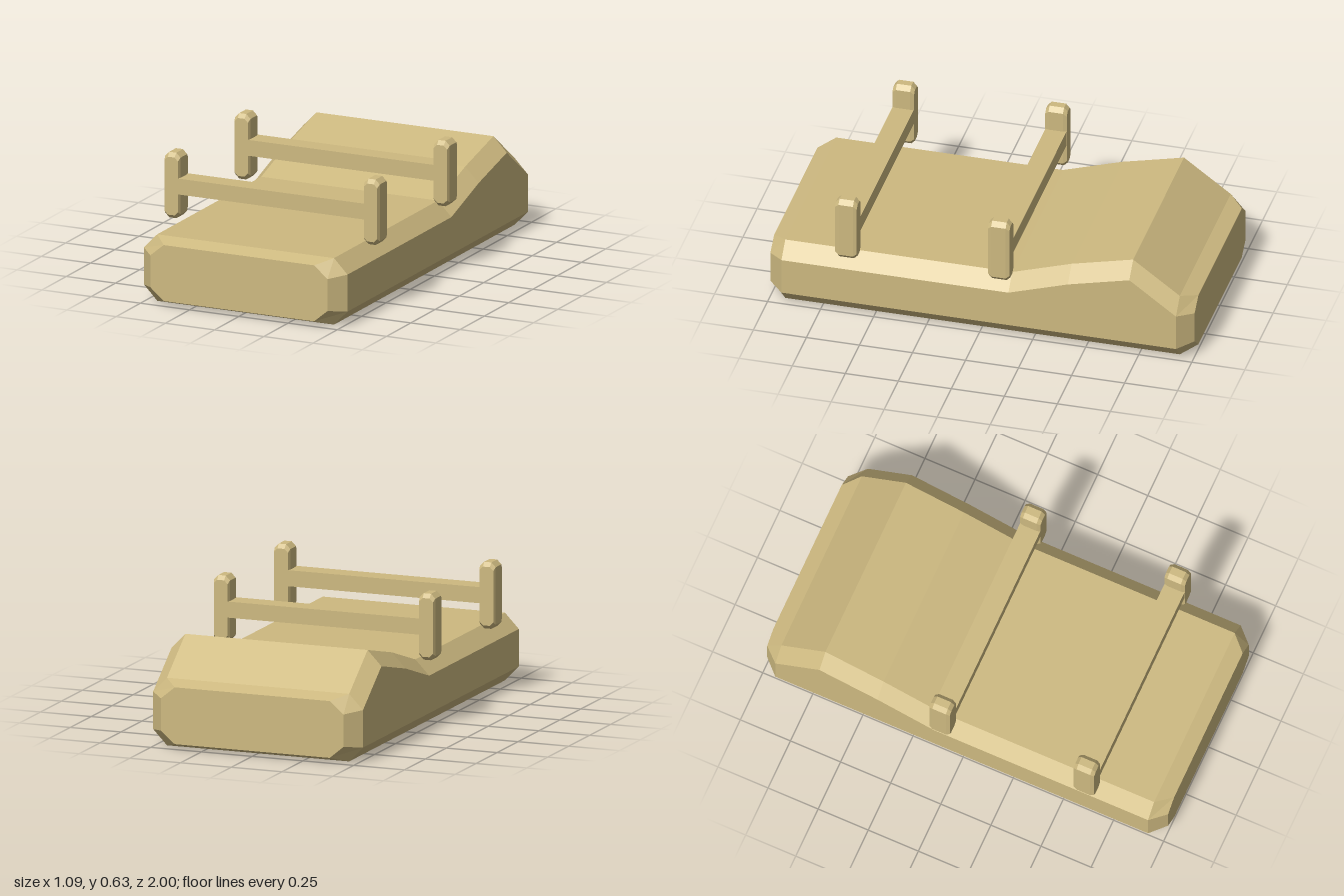
import * as THREE from 'three';

const material = new THREE.MeshStandardMaterial({ color: 0xcdb980, flatShading: true });

// Loft of chamfered rectangles, front to back: [z, halfWidth, bottom, top, chamferX, chamferY]
function loft(name, sections) {
  const pos = [], idx = [];
  for (const [z, w, b, t, cx, cy] of sections) {
    const ring = [[w, b + cy], [w, t - cy], [w - cx, t], [cx - w, t],
      [-w, t - cy], [-w, b + cy], [cx - w, b], [w - cx, b]];
    for (const [x, y] of ring) pos.push(x, y, z);
  }
  const last = (sections.length - 1) * 8;
  for (let s = 0; s < last; s += 8) {
    for (let j = 0; j < 8; j++) {
      const k = (j + 1) % 8;
      idx.push(s + j, s + 8 + j, s + 8 + k, s + j, s + 8 + k, s + k);
    }
  }
  for (let j = 1; j < 7; j++) idx.push(0, j, j + 1, last, last + j + 1, last + j);
  const indexed = new THREE.BufferGeometry();
  indexed.setAttribute('position', new THREE.Float32BufferAttribute(pos, 3));
  indexed.setIndex(idx);
  const geo = indexed.toNonIndexed();
  geo.computeVertexNormals();
  const mesh = new THREE.Mesh(geo, material);
  mesh.name = name;
  return mesh;
}

export function createModel() {
  const model = new THREE.Group();
  model.name = 'paddedBench';

  // Long slab with chamfered edges, rising to a headrest at the back
  const slab = [[0.93, 0.315], [-0.14, 0.315], [-0.42, 0.405], [-0.71, 0.475], [-0.93, 0.315]]
    .map(([z, top]) => [z, 0.517, 0, top, 0.068, 0.07]);
  const end = (z) => [z, 0.45, 0.025, 0.29, 0.068, 0.057];
  model.add(loft('body', [end(1), ...slab, end(-1)]));

  // Two restraint bars, each carried between a pair of chamfered posts
  for (const [name, z] of [['frontRestraint', 0.62], ['rearRestraint', -0.1]]) {
    const restraint = new THREE.Group();
    restraint.name = name;
    restraint.position.z = z;

    const bar = new THREE.Mesh(new THREE.BoxGeometry(0.96, 0.075, 0.1), material);
    bar.name = 'crossbar';
    bar.position.y = 0.472;
    restraint.add(bar);

    for (const side of [1, -1]) {
      const face = (d) => [d, 0.034, 0.333, 0.607, 0.017, 0.017];
      const core = (d) => [d, 0.039, 0.316, 0.626, 0.021, 0.021];
      const post = loft(side > 0 ? 'leftPost' : 'rightPost',
        [face(0.051), core(0.034), core(-0.034), face(-0.051)]);
      post.position.x = side * 0.506;
      restraint.add(post);
    }
    model.add(restraint);
  }
  return model;
}
